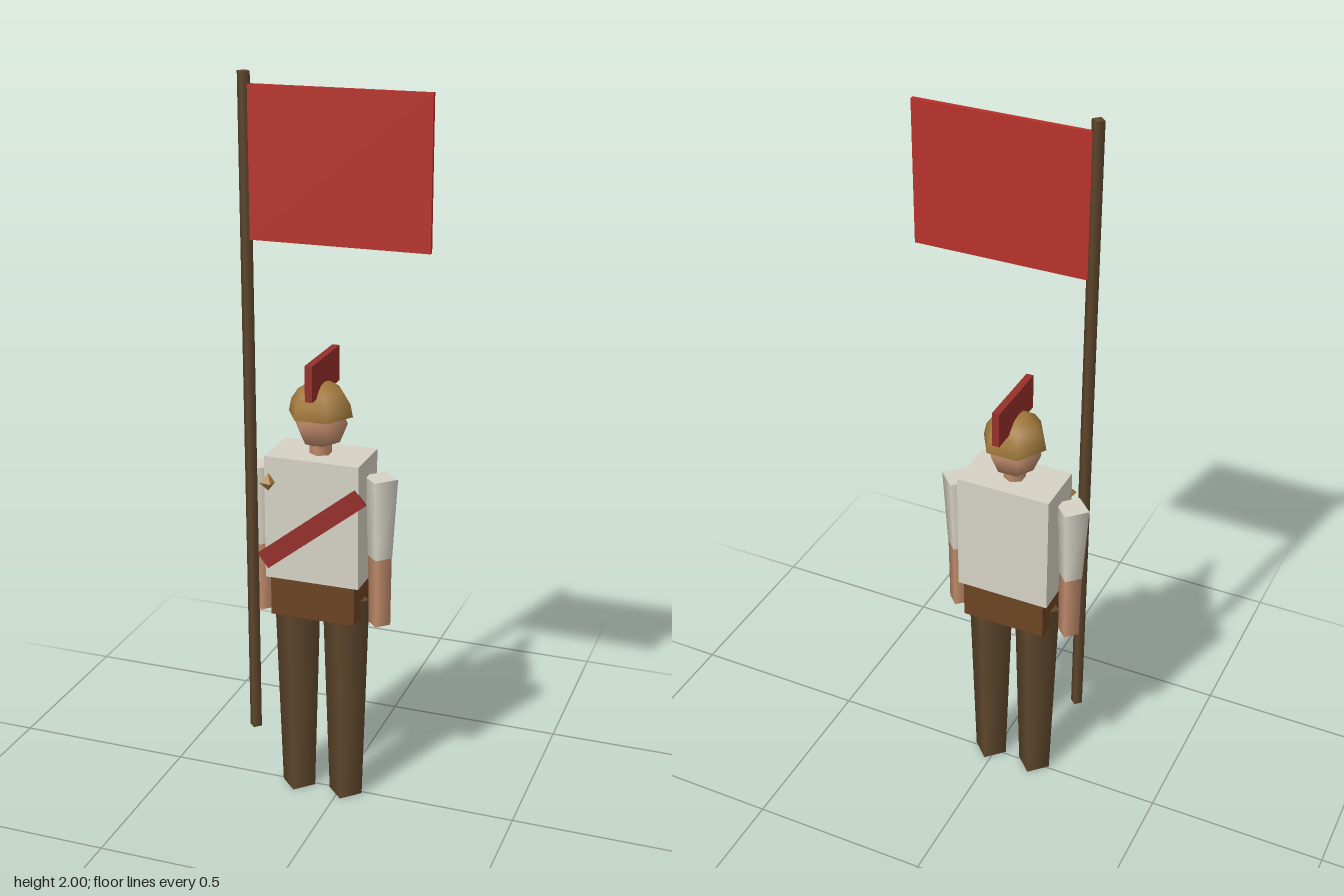
import * as THREE from 'three';

const material = (name, color, side = THREE.FrontSide) => {
  const m = new THREE.MeshStandardMaterial({ color, side });
  m.name = name;
  return m;
};

export function createModel() {
  const shirt = material('off-white cloth', 0xd6d2c5);
  const skin = material('skin', 0xbe8a6a);
  const trousers = material('dark brown', 0x5f472c);
  const leather = material('leather brown', 0x6b4423);
  const bronze = material('bronze', 0xa27a3c, THREE.DoubleSide);
  const red = material('flag red', 0xb8322c);
  const darkRed = material('dark red', 0x96302b);

  const model = new THREE.Group();
  model.name = 'standardBearer';

  const add = (parent, name, geometry, mat, x, y, z) => {
    const mesh = new THREE.Mesh(geometry, mat);
    mesh.name = name;
    mesh.position.set(x, y, z);
    parent.add(mesh);
    return mesh;
  };
  const box = (w, h, d) => new THREE.BoxGeometry(w, h, d);
  // Tapered post given by its bottom and top heights
  const post = (parent, name, mat, rTop, rBottom, y0, y1, x, z, sides = 4) =>
    add(parent, name, new THREE.CylinderGeometry(rTop, rBottom, y1 - y0, sides), mat, x, (y0 + y1) / 2, z);

  // The figure stands a little to one side to balance the flag
  const figure = new THREE.Group();
  figure.name = 'figure';
  figure.position.set(-0.053, 0, 0.007);
  model.add(figure);

  // Body
  add(figure, 'torso', box(0.262, 0.345, 0.153), shirt, 0, 0.8375, 0);
  add(figure, 'hips', box(0.236, 0.11, 0.142), leather, 0, 0.61, 0.001);

  // Limbs, mirrored
  for (const [side, s] of [['left', 1], ['right', -1]]) {
    post(figure, side + 'Leg', trousers, 0.067, 0.048, 0, 0.603, s * 0.07, 0);
    post(figure, side + 'Sleeve', shirt, 0.048, 0.034, 0.735, 0.96, s * 0.166, 0);
    post(figure, side + 'Forearm', skin, 0.033, 0.031, 0.54, 0.737, s * 0.166, 0);
  }

  // Head and helmet
  post(figure, 'neck', skin, 0.03, 0.03, 1.0, 1.045, 0, 0, 6);
  add(figure, 'head', new THREE.SphereGeometry(0.075, 6, 4), skin, 0, 1.098, 0);
  add(figure, 'helmet', new THREE.SphereGeometry(0.089, 6, 4, 0, Math.PI * 2, 0, Math.PI / 2),
    bronze, 0, 1.118, 0);
  add(figure, 'helmetCrest', box(0.02, 0.097, 0.207), darkRed, 0, 1.224, -0.014);

  // Chest sash and badge
  const sash = add(figure, 'sash', box(0.347, 0.05, 0.012), darkRed, 0, 0.82, 0.077);
  sash.rotation.z = 0.667;
  const badge = add(figure, 'badge', new THREE.OctahedronGeometry(0.024), bronze, -0.119, 0.94, 0.08);
  badge.rotation.y = 0.62;

  // Flag on its pole
  post(model, 'flagPole', trousers, 0.017, 0.017, 0.21, 2, -0.218, 0.09);
  add(model, 'flag', box(0.471, 0.383, 0.012), red, 0.0285, 1.778, 0.09);

  return model;
}
